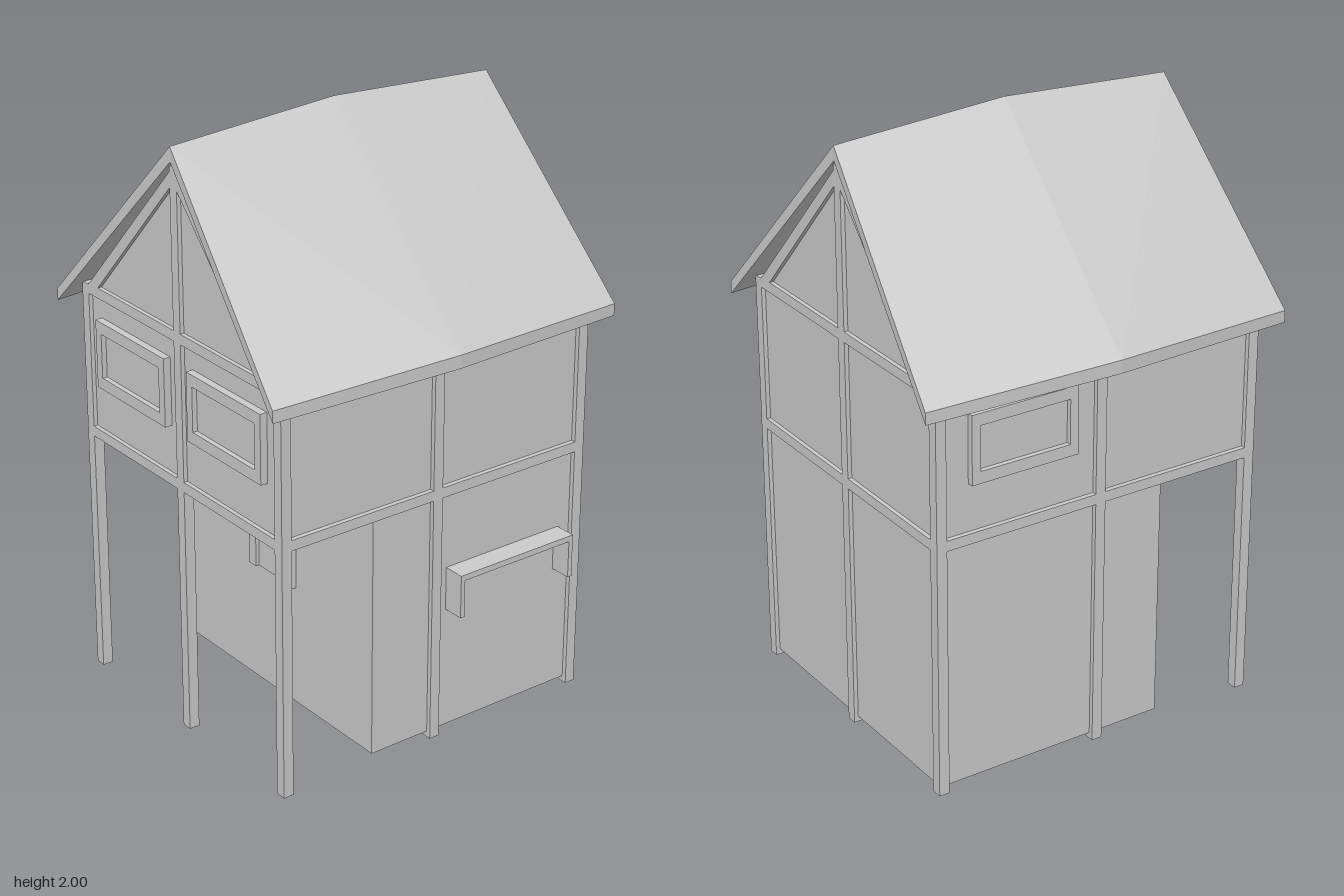
import * as THREE from 'three';

const grey = new THREE.MeshStandardMaterial({ color: 0xcccccc, flatShading: true, side: THREE.DoubleSide });

function add(parent, name, geometry) {
  const mesh = new THREE.Mesh(geometry, grey);
  mesh.name = name;
  parent.add(mesh);
  return mesh;
}

// Box given by its lower and upper limits on each axis
function box(parent, name, [x0, x1], [y0, y1], [z0, z1]) {
  const mesh = add(parent, name, new THREE.BoxGeometry(x1 - x0, y1 - y0, z1 - z0));
  mesh.position.set((x0 + x1) / 2, (y0 + y1) / 2, (z0 + z1) / 2);
  return mesh;
}

// Flat outline in x and y, extruded along z from z0
function plate(parent, name, points, z0, depth, hole) {
  const shape = new THREE.Shape(points.map(p => new THREE.Vector2(...p)));
  if (hole) shape.holes.push(new THREE.Path(hole.map(p => new THREE.Vector2(...p))));
  const mesh = add(parent, name, new THREE.ExtrudeGeometry(shape, { depth, bevelEnabled: false }));
  mesh.position.z = z0;
  return mesh;
}

const rect = (w, h) => [[-w, -h], [w, -h], [w, h], [-w, h]];

// Framed window facing +z with its back at z = 0
function makeWindow(name) {
  const group = new THREE.Group();
  group.name = name;
  plate(group, 'windowFrame', rect(0.19, 0.115), 0, 0.025, rect(0.16, 0.075));
  box(group, 'windowPane', [-0.16, 0.16], [-0.075, 0.075], [0, 0.008]);
  return group;
}

// Folded slab that is highest and widest at mid-length
function roofGeometry() {
  const sections = [
    { z: [-0.6, -0.655], ridge: [1.965, 1.917], x: 0.575, eave: [1.345, 1.305] },
    { z: [0, 0], ridge: [2.0, 1.955], x: 0.623, eave: [1.362, 1.318] },
    { z: [0.6, 0.655], ridge: [1.965, 1.917], x: 0.575, eave: [1.345, 1.305] },
  ];
  const pos = [], idx = [];
  // Six points per section: left eave, ridge, right eave; top then underside
  for (const s of sections)
    for (const k of [0, 1])
      pos.push(-s.x, s.eave[k], s.z[1], 0, s.ridge[k], s.z[0], s.x, s.eave[k], s.z[1]);
  for (const i of [0, 6]) {
    const end = i === 0 ? 0 : 12, mid = 6, flip = i === 0;
    const tri = (a, b, c, f) => idx.push(...(f ? [a, c, b] : [a, b, c]));
    for (const side of [0, 2])
      for (const k of [0, 3]) {
        const f = flip !== (side === 2) !== (k === 3);
        tri(mid + side + k, end + 1 + k, mid + 1 + k, f);
        tri(mid + side + k, end + side + k, end + 1 + k, f);
      }
    // Eave edges
    for (const side of [0, 2]) {
      const f = flip !== (side === 2);
      tri(mid + side, mid + side + 3, end + side + 3, f);
      tri(mid + side, end + side + 3, end + side, f);
    }
    // Gable edges
    for (const a of [0, 1]) {
      tri(end + a, end + a + 3, end + a + 4, flip);
      tri(end + a, end + a + 4, end + a + 1, flip);
    }
  }
  const geometry = new THREE.BufferGeometry();
  geometry.setAttribute('position', new THREE.Float32BufferAttribute(pos, 3));
  geometry.setIndex(idx);
  const flat = geometry.toNonIndexed();
  flat.computeVertexNormals();
  return flat;
}

export function createModel() {
  const model = new THREE.Group();
  model.name = 'timberHouse';
  const X = 0.527, Z = 0.592, T = 0.036, H = T / 2;
  const beamHeights = [[0.845, 0.88], [1.34, 1.375]];

  // Posts: corners and mid-points of all four sides
  for (const s of [-1, 1]) {
    const px = s * (X - H), pz = s * (Z - H);
    for (const z of [-Z + H, 0, Z - H])
      box(model, 'sidePost', [px - H, px + H], [0, 1.37], [z - H, z + H]);
    box(model, 'gablePost', [-H, H], [0, 1.9], [pz - H, pz + H]);

    // Horizontal beams and gable rafters
    for (const y of beamHeights) {
      box(model, 'sideBeam', [px - H, px + H], y, [-Z + T, Z - T]);
      box(model, 'gableBeam', [-X + T, X - T], y, [pz - H, pz + H]);
    }
    plate(model, 'gableRafters',
      [[-0.51, 1.35], [-0.46, 1.35], [0, 1.85], [0.46, 1.35], [0.51, 1.35], [0, 1.9]], pz - H, T);

    // Side walls, the upper storey overhanging at the front
    const wx = s * 0.506;
    box(model, 'lowerSideWall', [wx - 0.005, wx + 0.005], [0.02, 0.86], [-0.57, 0.24]);
    box(model, 'upperSideWall', [wx - 0.005, wx + 0.005], [0.86, 1.35], [-0.57, 0.57]);

    // Front and back walls with their gables
    const base = s > 0 ? 0.86 : 0.02;
    plate(model, s > 0 ? 'frontGableWall' : 'backWall',
      [[-0.5, base], [0.5, base], [0.5, 1.36], [0, 1.89], [-0.5, 1.36]], s * 0.573 - 0.005, 0.01);

    // Front windows
    const win = makeWindow('frontWindow');
    win.position.set(s * 0.25, 1.155, 0.578);
    model.add(win);

    // Jambs of the opening in the recessed front wall
    const jx = s * 0.097;
    box(model, 'hatchJamb', [jx - 0.019, jx + 0.019], [0.44, 0.86], [0.22, 0.257]);
  }
  box(model, 'lowerFrontWall', [-0.511, 0.511], [0.02, 0.86], [0.23, 0.24]);
  box(model, 'hatchPanel', [-0.08, 0.08], [0.44, 0.86], [0.225, 0.245]);
  box(model, 'upperFloor', [-0.505, 0.505], [0.855, 0.87], [-0.57, 0.57]);

  // Window on the right-hand wall as seen from the front's back half
  const sideWindow = makeWindow('sideWindow');
  sideWindow.rotation.y = -Math.PI / 2;
  sideWindow.position.set(-0.508, 1.155, -0.28);
  model.add(sideWindow);

  // Shelf with two end brackets on the left wall
  box(model, 'shelfTop', [0.511, 0.585], [0.568, 0.588], [-0.51, -0.05]);
  for (const z of [-0.502, -0.058])
    box(model, 'shelfBracket', [0.511, 0.585], [0.44, 0.57], [z - 0.008, z + 0.008]);

  add(model, 'roof', roofGeometry());
  return model;
}
